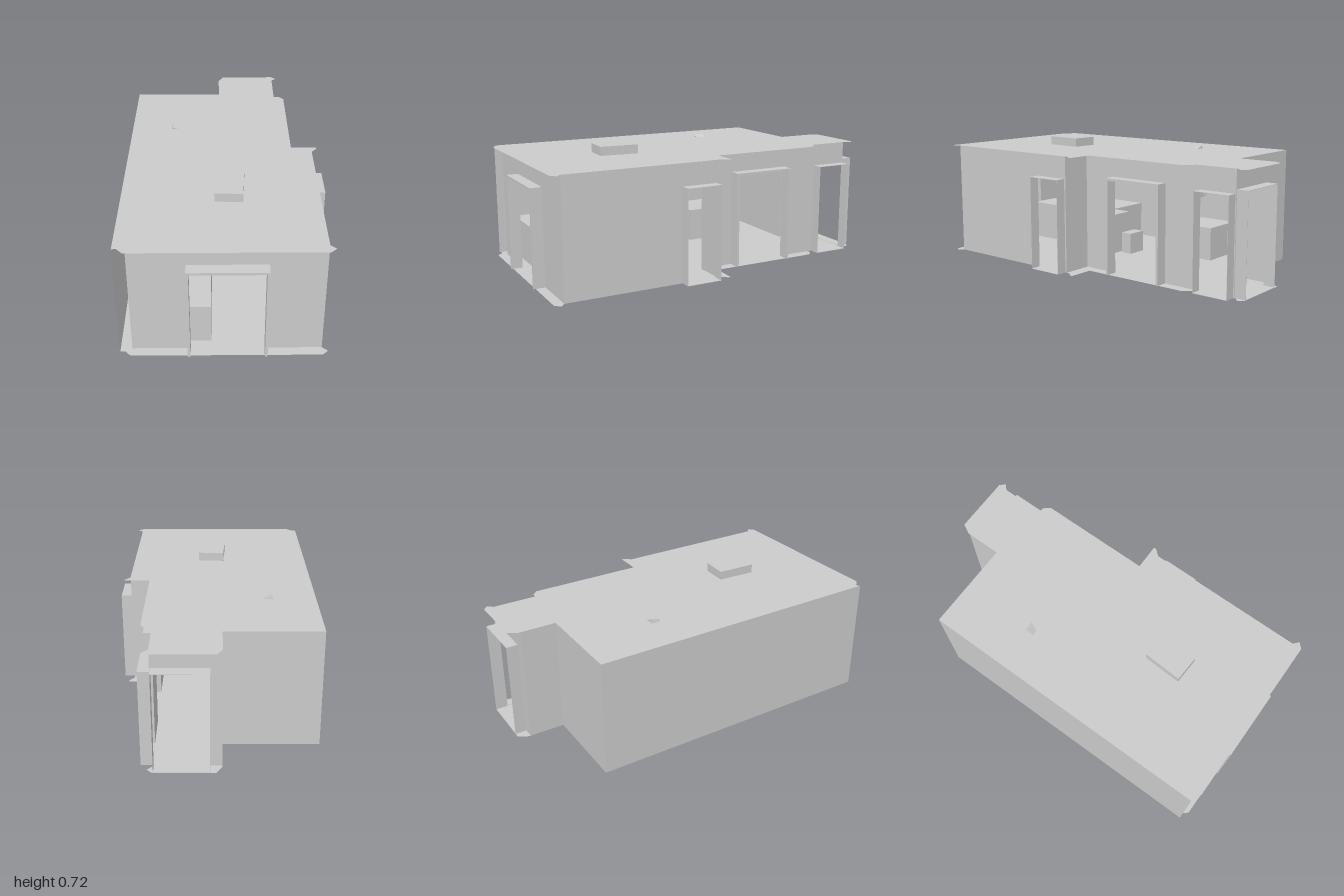
import * as THREE from 'three';

const FLOOR = 0.015, CEILING = 0.67;
const material = new THREE.MeshStandardMaterial({ color: 0xcccccc, flatShading: true, side: THREE.DoubleSide });

function add(parent, name, geometry) {
  const mesh = new THREE.Mesh(geometry, material);
  mesh.name = name;
  parent.add(mesh);
  return mesh;
}

function polygon(points) {
  return new THREE.Shape(points.map(([x, y]) => new THREE.Vector2(x, y)));
}

// Box given by its x, y and z limits
function box(parent, name, [x0, x1], [y0, y1], [z0, z1]) {
  const mesh = add(parent, name, new THREE.BoxGeometry(x1 - x0, y1 - y0, z1 - z0));
  mesh.position.set((x0 + x1) / 2, (y0 + y1) / 2, (z0 + z1) / 2);
  return mesh;
}

// Projecting door surround, open in the middle; thin ones also have a sill
function doorFrame(parent, { from, to, top, depth, border, sill }) {
  const b = border;
  let shape;
  if (sill) {
    shape = polygon([[from, FLOOR], [to, FLOOR], [to, top], [from, top]]);
    shape.holes.push(polygon([[from + b, FLOOR + b], [from + b, top - b], [to - b, top - b], [to - b, FLOOR + b]]));
  } else {
    shape = polygon([
      [from, FLOOR], [from + b, FLOOR], [from + b, top - b], [to - b, top - b],
      [to - b, FLOOR], [to, FLOOR], [to, top], [from, top],
    ]);
  }
  add(parent, 'doorFrame', new THREE.ExtrudeGeometry(shape, { depth, bevelEnabled: false }));
}

// Thin wall between two plan points, with doorways cut up from the floor
function wall(parent, name, [ax, az], [bx, bz], doors = []) {
  const group = new THREE.Group();
  group.name = name;
  group.position.set(ax, 0, az);
  group.rotation.y = Math.atan2(az - bz, bx - ax);
  const length = Math.hypot(bx - ax, bz - az);
  const outline = [[0, FLOOR]];
  for (const d of doors) {
    outline.push([d.from, FLOOR], [d.from, d.top], [d.to, d.top], [d.to, FLOOR]);
    doorFrame(group, d);
  }
  outline.push([length, FLOOR], [length, CEILING], [0, CEILING]);
  add(group, name + 'Panel', new THREE.ShapeGeometry(polygon(outline)));
  parent.add(group);
}

export function createModel() {
  const model = new THREE.Group();
  model.name = 'roomShell';

  // Floor and ceiling share one plan, overhanging some of the walls
  const plan = [
    [-0.555, -0.735], [-0.04, -0.735], [-0.04, -0.945], [-0.01, -1], [0.315, -1], [0.342, -0.972],
    [0.315, -0.945], [0.315, -0.695], [0.345, -0.695], [0.375, -0.66], [0.375, -0.02], [0.52, -0.02],
    [0.52, -0.005], [0.49, 0.03], [0.49, 0.935], [0.52, 0.962], [0.49, 0.99], [-0.5, 0.99],
    [-0.53, 0.957], [-0.555, 0.957],
  ];
  for (const [name, y] of [['floor', FLOOR], ['ceiling', CEILING]]) {
    const slab = add(model, name, new THREE.ShapeGeometry(polygon(plan.map(([x, z]) => [x, -z]))));
    slab.rotation.x = -Math.PI / 2;
    slab.position.y = y;
  }

  // Walls, running anticlockwise seen from above
  const thick = { top: 0.557, depth: 0.065, border: 0.014, sill: false };
  const thin = { top: 0.545, depth: 0.06, border: 0.002, sill: true };
  wall(model, 'frontWall', [-0.495, 0.935], [0.49, 0.935], [{ ...thick, from: 0.29, to: 0.7 }]);
  wall(model, 'rightWall', [0.49, 0.935], [0.49, 0.05], [{ ...thin, from: 0.67, to: 0.876 }]);
  wall(model, 'stepWall', [0.49, 0.05], [0.315, 0.05]);
  wall(model, 'recessedWall', [0.315, 0.05], [0.315, -0.935], [
    { ...thick, from: 0.195, to: 0.555 },
    { ...thin, from: 0.772, to: 0.98 },
  ]);
  wall(model, 'alcoveBackWall', [0.315, -0.935], [-0.04, -0.935],
    [{ ...thin, from: 0.005, to: 0.295, top: 0.567, depth: 0.065 }]);
  wall(model, 'alcoveSideWall', [-0.04, -0.935], [-0.04, -0.735]);
  wall(model, 'backWall', [-0.04, -0.735], [-0.555, -0.735]);
  wall(model, 'leftWall', [-0.555, -0.735], [-0.555, 0.965]);

  // Box standing through the ceiling
  box(model, 'roofBox', [-0.06, 0.09], [0.55, 0.72], [0.33, 0.55]).rotation.y = -0.05;

  // Furniture blocks inside
  box(model, 'frontCabinet', [-0.5, -0.085], [FLOOR, 0.245], [0.3, 0.88]);
  box(model, 'middleCabinet', [-0.175, -0.01], [FLOOR, 0.255], [0.14, 0.3]);
  box(model, 'lowStool', [-0.2, -0.08], [FLOOR, 0.14], [0.05, 0.12]);
  box(model, 'rearCabinet', [-0.5, -0.25], [FLOOR, 0.21], [-0.42, -0.19]);

  // Seat sunk slightly through the floor
  box(model, 'sunkenSeat', [-0.43, -0.31], [0, 0.2], [-0.16, -0.045]);

  // Leaning panel whose corner pokes through the ceiling
  const panel = box(model, 'leaningPanel', [-0.36, -0.24], [0.393, 0.673], [-0.325, -0.275]);
  panel.rotation.set(0.14, 0, -0.3);

  return model;
}
